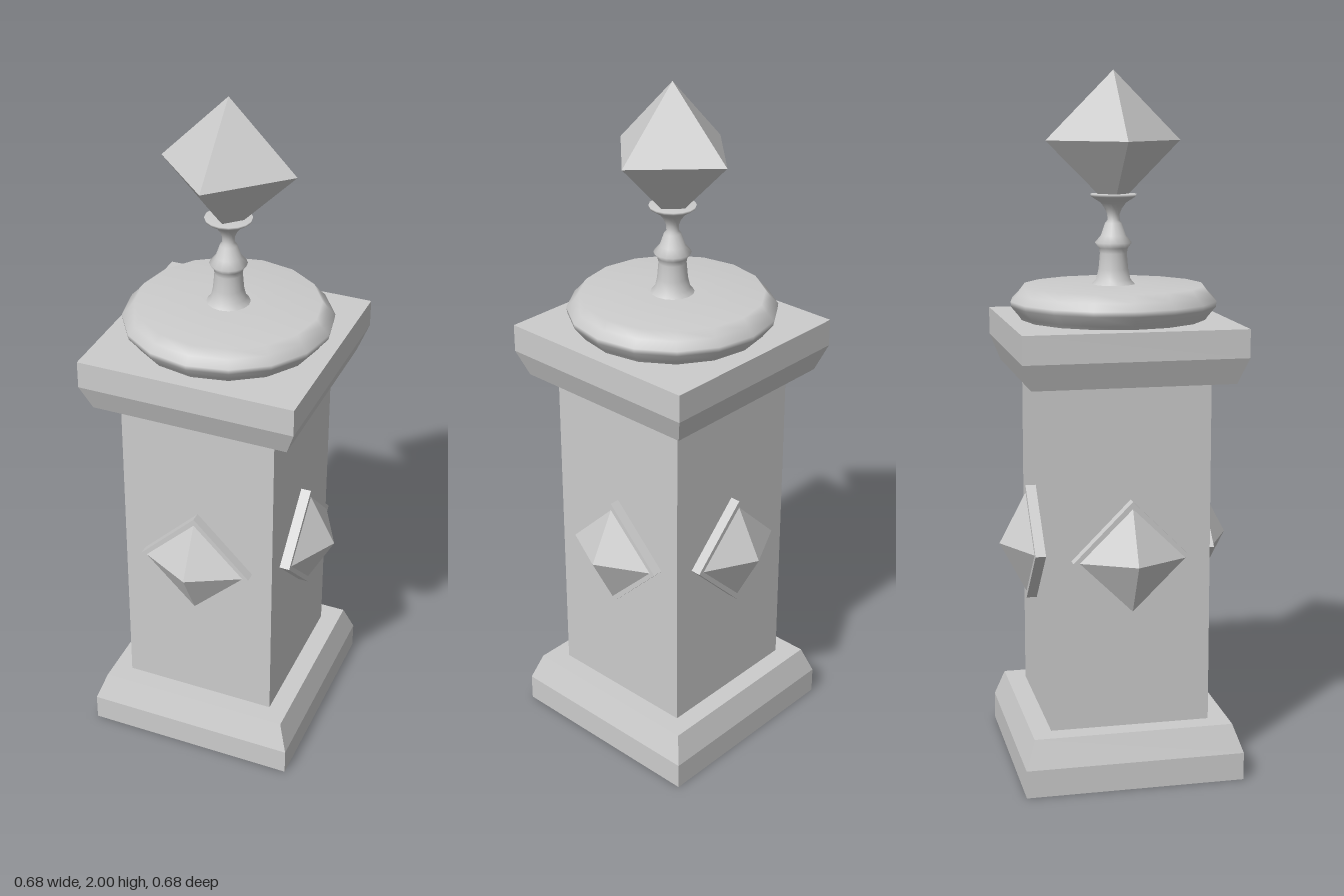
import * as THREE from 'three';

const stone = new THREE.MeshStandardMaterial({ color: 0xcccccc });
stone.name = 'grey stone';

function mesh(name, geometry) {
  const m = new THREE.Mesh(geometry, stone);
  m.name = name;
  return m;
}

// Flat-sided square solid lofted through [halfWidth, y] rings, bottom to top
function squareLoft(rings) {
  const points = [[0, rings[0][1]], ...rings, [0, rings[rings.length - 1][1]]]
    .map(([h, y]) => new THREE.Vector2(h * Math.SQRT2, y));
  const g = new THREE.LatheGeometry(points, 4, Math.PI / 4).toNonIndexed();
  g.computeVertexNormals();
  return g;
}

function turned(points) {
  return new THREE.LatheGeometry(points.map(([r, y]) => new THREE.Vector2(r, y)), 16);
}

// Diamond plate with a pyramid gem, facing +z
function createOrnament() {
  const ornament = new THREE.Group();
  ornament.name = 'diamondOrnament';
  const side = 0.169 * Math.SQRT2;
  const frame = mesh('diamondFrame', new THREE.BoxGeometry(side, side, 0.05));
  frame.rotation.z = Math.PI / 4;
  frame.position.z = 0.235;
  const gem = mesh('sideGem', new THREE.OctahedronGeometry(1));
  gem.scale.set(0.153, 0.15, 0.079);
  gem.position.z = 0.259;
  ornament.add(frame, gem);
  return ornament;
}

export function createModel() {
  const model = new THREE.Group();
  model.name = 'stonePillar';

  // Square masonry
  model.add(
    mesh('base', squareLoft([[0.315, 0], [0.315, 0.08], [0.287, 0.16]])),
    mesh('shaft', squareLoft([[0.23, 0.15], [0.23, 1.16]])),
    mesh('cap', squareLoft([[0.287, 1.15], [0.315, 1.225], [0.315, 1.305]])),
  );

  // Round cushion and turned stem
  model.add(
    mesh('cushion', turned([
      [0.262, 1.3], [0.272, 1.315], [0.295, 1.343], [0.297, 1.358],
      [0.277, 1.378], [0.26, 1.4], [0.06, 1.402], [0, 1.402],
    ])),
    mesh('finialStem', turned([
      [0.065, 1.398], [0.05, 1.415], [0.043, 1.445], [0.039, 1.49], [0.042, 1.505],
      [0.053, 1.52], [0.036, 1.54], [0.024, 1.575], [0.017, 1.583],
      [0.018, 1.6], [0.024, 1.615], [0.036, 1.632], [0.064, 1.65],
      [0.066, 1.657], [0, 1.657],
    ])),
  );

  // Crowning octahedron
  const finial = mesh('finialGem', new THREE.OctahedronGeometry(0.194));
  finial.position.y = 1.806;
  model.add(finial);

  // One ornament on each face of the shaft
  for (let i = 0; i < 4; i++) {
    const ornament = createOrnament();
    ornament.position.y = 0.655;
    ornament.rotation.y = i * Math.PI / 2;
    model.add(ornament);
  }
  return model;
}
